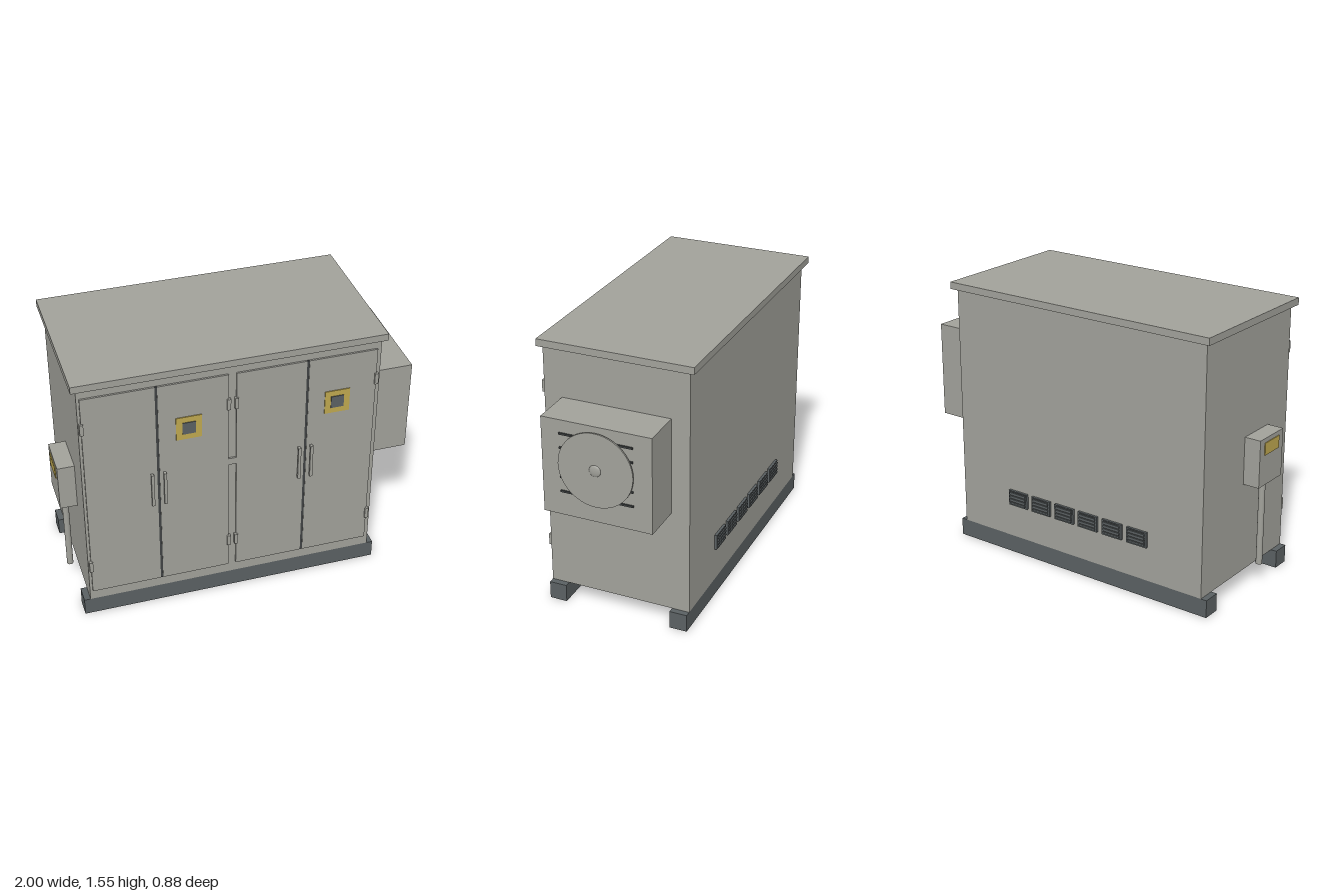
import * as THREE from 'three';

const mat = (name, color) => {
  const m = new THREE.MeshStandardMaterial({ color });
  m.name = name;
  return m;
};

export function createModel() {
  const grey = mat('cabinet grey', 0xa2a29b);
  const slate = mat('slate', 0x5b6163);
  const dark = mat('dark gap', 0x404344);
  const yellow = mat('label yellow', 0xc0a950);

  const root = new THREE.Group();
  root.name = 'equipmentCabinet';

  const add = (name, geometry, material, parent = root) => {
    const mesh = new THREE.Mesh(geometry, material);
    mesh.name = name;
    parent.add(mesh);
    return mesh;
  };
  // box given by its limits on each axis
  const box = (name, material, x0, x1, y0, y1, z0, z1, parent = root) => {
    const mesh = add(name, new THREE.BoxGeometry(x1 - x0, y1 - y0, z1 - z0), material, parent);
    mesh.position.set((x0 + x1) / 2, (y0 + y1) / 2, (z0 + z1) / 2);
    return mesh;
  };
  const group = (name) => {
    const g = new THREE.Group();
    g.name = name;
    root.add(g);
    return g;
  };

  // shell and roof
  box('body', grey, -0.9, 0.74, 0.102, 1.51, -0.41, 0.41);
  box('roof', grey, -0.93, 0.765, 1.51, 1.55, -0.44, 0.435);

  // skid base: two long rails and three cross beams
  const base = group('base');
  for (const s of [-1, 1]) {
    const z = s * 0.36;
    box('baseRail', slate, -0.935, 0.775, 0, 0.102, z - 0.05, z + 0.05, base);
  }
  for (const x of [-0.695, -0.08, 0.535]) {
    box('crossBeam', slate, x - 0.05, x + 0.05, 0, 0.102, -0.31, 0.31, base);
  }

  // two pairs of doors; each entry is the left edge, middle gap and right edge
  const doors = group('doors');
  for (const [x0, xm, x1] of [[-0.885, -0.49, -0.103], [-0.06, 0.33, 0.717]]) {
    box('door', grey, x0, xm - 0.007, 0.165, 1.455, 0.41, 0.42, doors);
    box('door', grey, xm + 0.007, x1, 0.165, 1.455, 0.41, 0.42, doors);
    box('doorGap', dark, xm - 0.007, xm + 0.007, 0.165, 1.455, 0.41, 0.418, doors);

    // pull handles on short posts
    for (const hx of [xm - 0.037, xm + 0.032]) {
      box('handle', grey, hx - 0.008, hx + 0.008, 0.705, 0.91, 0.431, 0.443, doors);
      for (const y of [0.715, 0.9]) {
        box('handlePost', grey, hx - 0.006, hx + 0.006, y - 0.008, y + 0.008, 0.42, 0.431, doors);
      }
    }
    // hinges on the outer edges
    for (const hx of [x0, x1]) {
      for (const y of [0.346, 1.272]) {
        box('hinge', grey, hx - 0.01, hx + 0.01, y - 0.033, y + 0.033, 0.41, 0.43, doors);
      }
    }
    // warning label with a dark centre
    const lx = xm + 0.17;
    box('label', yellow, lx - 0.07, lx + 0.07, 1.1, 1.24, 0.42, 0.425, doors);
    box('labelCentre', slate, lx - 0.036, lx + 0.036, 1.134, 1.206, 0.425, 0.429, doors);
  }
  box('doorBridge', grey, -0.103, -0.06, 0.872, 0.913, 0.41, 0.42, doors);

  // cooling unit with a fan cover held on four bars
  const cooler = group('coolingUnit');
  box('coolerBox', grey, 0.74, 0.975, 0.69, 1.235, -0.308, 0.308, cooler);
  for (const y of [0.83, 0.912, 1.08, 1.16]) {
    box('fanBar', dark, 0.975, 0.984, y - 0.005, y + 0.005, -0.205, 0.205, cooler);
  }
  const cover = add('fanCover', new THREE.CylinderGeometry(0.21, 0.21, 0.009, 48), grey, cooler);
  cover.rotation.z = -Math.PI / 2;
  cover.position.set(0.987, 0.995, 0);
  const hub = add('fanHub', new THREE.SphereGeometry(0.033, 24, 6, 0, Math.PI * 2, 0, Math.PI / 2), grey, cooler);
  hub.scale.y = 0.27;
  hub.rotation.z = -Math.PI / 2;
  hub.position.set(0.991, 0.995, 0);

  // meter box with its conduit
  const meter = group('meter');
  box('meterBox', grey, -0.995, -0.9, 0.62, 0.89, -0.02, 0.213, meter);
  box('meterLabel', yellow, -1.0, -0.995, 0.795, 0.865, 0.025, 0.168, meter);
  const pipe = add('conduit', new THREE.CylinderGeometry(0.018, 0.018, 0.5, 16), grey, meter);
  pipe.position.set(-0.948, 0.37, 0.097);

  // row of louvred vents on the back
  const vents = group('vents');
  for (let i = 0; i < 6; i++) {
    const x = -0.08 + (i - 2.5) * 0.164;
    box('ventFrame', slate, x - 0.065, x + 0.065, 0.3, 0.39, -0.424, -0.41, vents);
    for (let j = 0; j < 4; j++) {
      const y = 0.315 + j * 0.02;
      box('ventSlat', slate, x - 0.055, x + 0.055, y - 0.005, y + 0.005, -0.431, -0.424, vents);
      box('ventSlot', dark, x - 0.055, x + 0.055, y + 0.006, y + 0.013, -0.4255, -0.424, vents);
    }
  }
  return root;
}
